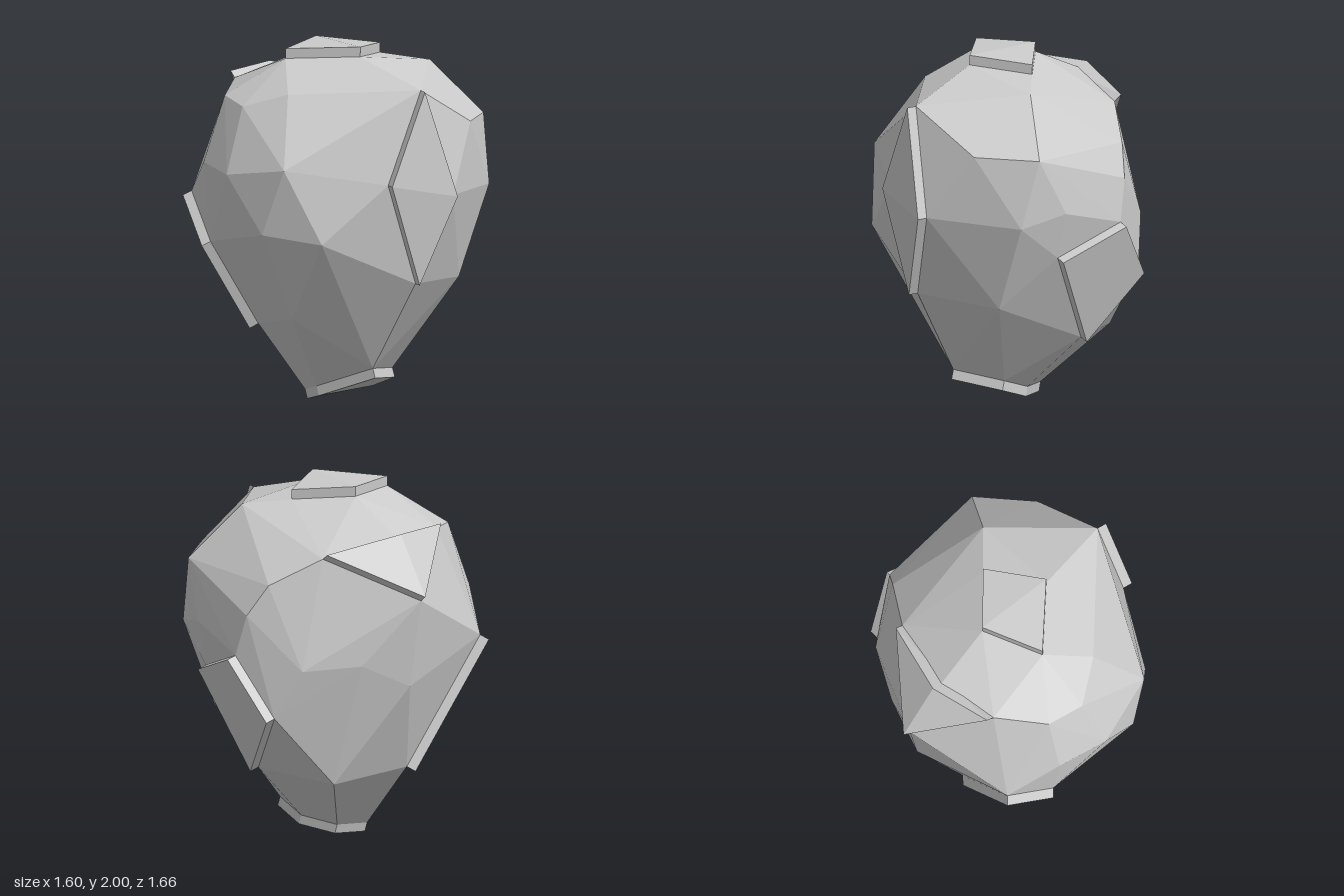
import * as THREE from 'three';
import { ConvexGeometry } from 'three/addons/geometries/ConvexGeometry.js';

const CENTRE = new THREE.Vector3(0, 1, 0);
const THICKNESS = 0.055;

// Outer corners of each raised plate, in order around its rim
const PLATES = {
  topPlate: [[-0.34, 1.98, -0.15], [-0.13, 2, 0.21], [0.2, 1.97, 0.08], [0.01, 2, -0.22]],
  frontPlate: [[-0.19, 1.81, 0.72], [-0.4, 1.3, 0.66], [-0.2, 0.73, 0.69], [-0.04, 1.22, 0.83]],
  sidePlate: [[0.63, 0.98, 0.39], [0.8, 1.13, 0.03], [0.75, 0.8, -0.21], [0.56, 0.44, 0.07]],
  upperBackPlate: [[-0.27, 1.8, -0.6], [0.08, 1.81, -0.61], [0.46, 1.73, -0.4], [0.13, 1.5, -0.83]],
  lowerBackPlate: [[-0.5, 1.12, -0.75], [-0.09, 0.42, -0.57], [-0.42, 0.41, -0.34], [-0.64, 0.88, -0.5]],
  basePlate: [[-0.16, 0.17, 0.34], [0.12, 0.13, 0.25], [0.15, 0.06, 0.07],
    [0.09, 0.03, -0.14], [-0.14, 0, -0.16], [-0.21, 0.04, -0.02]],
};

// Corners of the boulder between the plates
const BODY = [
  // front and left
  [0.24, 1.59, 0.69], [0.56, 1.58, 0.52], [0.5, 1.2, 0.61], [0.35, 1.88, 0.31],
  [0.64, 1.26, 0.38], [0.65, 1.55, -0.14], [0.73, 1.38, -0.05], [0.31, 0.7, 0.55],
  // back
  [0.62, 1.09, -0.36], [0.39, 0.41, -0.39], [0.12, 0.97, -0.71], [0.37, 1.11, -0.58],
  // right
  [-0.55, 0.52, 0.07], [-0.67, 0.98, 0.38], [-0.8, 1.02, 0.06], [-0.78, 1.39, 0.2],
  [-0.79, 1.33, -0.2], [-0.64, 1.69, -0.21], [-0.55, 1.77, 0.04], [-0.55, 1.72, -0.41],
  [-0.66, 1.355, -0.47],
];

const toVectors = (list) => list.map((p) => new THREE.Vector3(...p));

// Average outward normal of a rim of corners
function outwardNormal(rim) {
  const normal = new THREE.Vector3();
  const middle = new THREE.Vector3();
  rim.forEach((p, i) => {
    normal.add(p.clone().cross(rim[(i + 1) % rim.length]));
    middle.addScaledVector(p, 1 / rim.length);
  });
  if (normal.dot(middle.sub(CENTRE)) < 0) normal.negate();
  return normal.normalize();
}

export function createModel() {
  const group = new THREE.Group();
  group.name = 'boulder';
  const material = new THREE.MeshStandardMaterial({ color: 0xcccccc, flatShading: true });
  const addHull = (name, points) => {
    const mesh = new THREE.Mesh(new ConvexGeometry(points), material);
    mesh.name = name;
    group.add(mesh);
  };

  const bodyPoints = toVectors(BODY);
  for (const [name, corners] of Object.entries(PLATES)) {
    const rim = toVectors(corners);
    const normal = outwardNormal(rim);
    const sunk = (depth) => rim.map((p) => p.clone().addScaledVector(normal, -depth));
    // The body meets the underside; the slab itself reaches slightly deeper
    bodyPoints.push(...sunk(THICKNESS));
    addHull(name, [...rim, ...sunk(THICKNESS * 1.5)]);
  }
  addHull('boulderBody', bodyPoints);
  return group;
}
